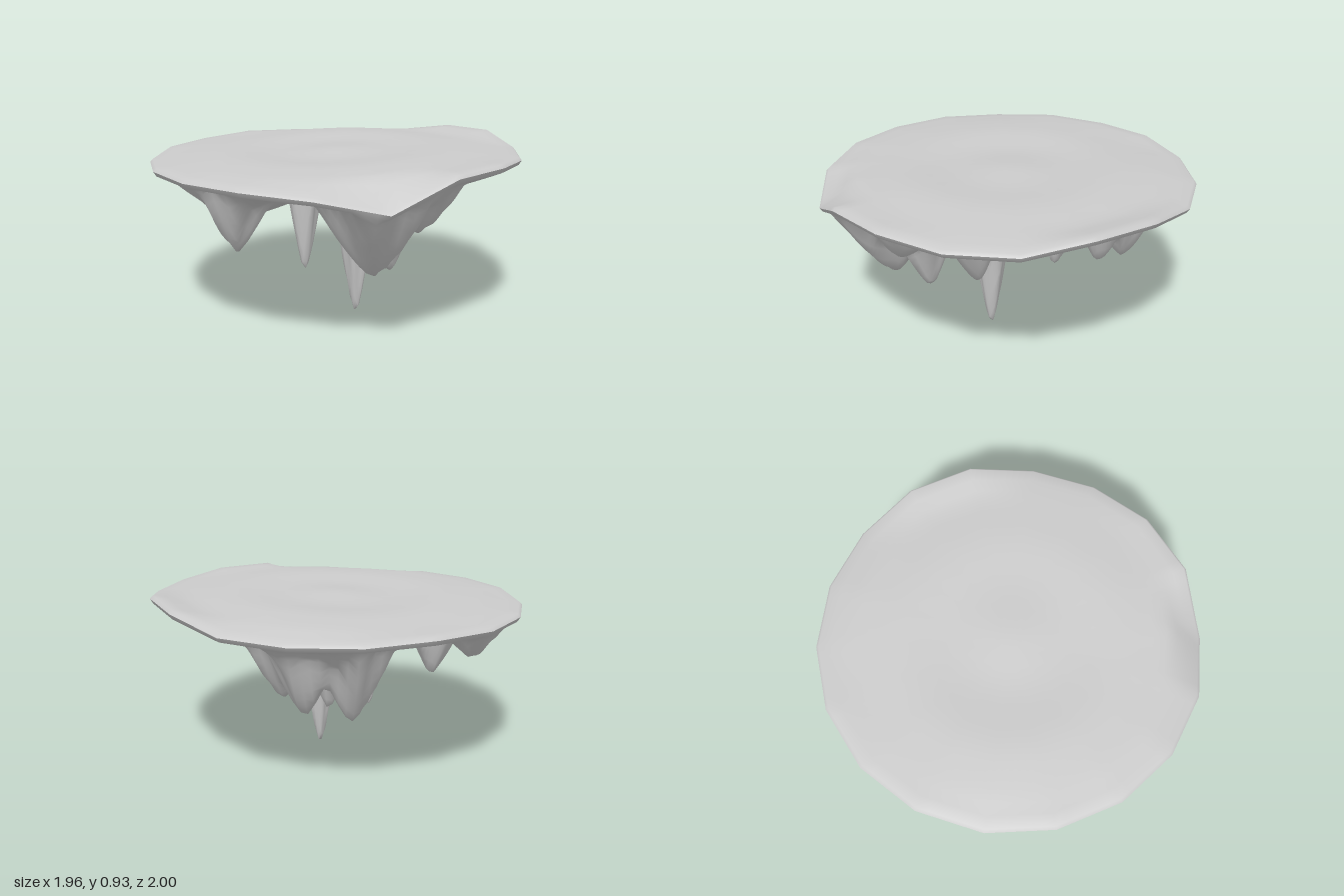
import * as THREE from 'three';

const SIDES = 18, SUB = 6, N = SIDES * SUB;

// Height of the rim at each of its 18 corners, starting at the back
const RIM = [0.87, 0.925, 0.935, 0.89, 0.89, 0.91, 0.905, 0.77, 0.84, 0.86, 0.86, 0.86, 0.85, 0.86, 0.86, 0.87, 0.86, 0.86];

// Hanging rock: x, z, tip height, radius, outward stretch
const SPIKES = [
  // Broad buttresses that the spikes grow from
  [0.42, 0.3, 0.58, 0.36, 1],
  [-0.22, -0.48, 0.57, 0.32, 1],
  [-0.26, 0.52, 0.6, 0.3, 1],
  // Spikes
  [0.14, 0.03, 0.0, 0.115, 1],
  [-0.12, 0.14, 0.24, 0.09, 1],
  [0.42, 0.46, 0.36, 0.25, 1.3],
  [0.42, 0.24, 0.33, 0.13, 1.5],
  [0.29, 0.02, 0.35, 0.14, 2],
  [0.59, 0.3, 0.56, 0.19, 1],
  [-0.24, 0.64, 0.45, 0.16, 1],
  [-0.37, 0.42, 0.39, 0.15, 1.2],
  [-0.02, -0.28, 0.37, 0.12, 1.2],
  [-0.02, -0.53, 0.45, 0.15, 1.2],
  [-0.2, -0.6, 0.41, 0.17, 1],
  [-0.38, -0.46, 0.37, 0.17, 1.2],
  [-0.22, -0.42, 0.4, 0.12, 1],
  [-0.83, -0.07, 0.67, 0.12, 1],
  [-0.6, 0.0, 0.69, 0.14, 1],
];

// Point on the straight-edged rim
function rimPoint(i) {
  const k = Math.floor(i / SUB) % SIDES, f = (i % SUB) / SUB, step = (Math.PI * 2) / SIDES;
  const a = k * step, b = a + step;
  return new THREE.Vector3(
    THREE.MathUtils.lerp(Math.sin(a), Math.sin(b), f) * 0.995,
    THREE.MathUtils.lerp(RIM[k], RIM[(k + 1) % SIDES], f),
    -THREE.MathUtils.lerp(Math.cos(a), Math.cos(b), f)
  );
}

function topHeight(x, z, t, rimY) {
  const mid = 0.894 + 0.022 * x - 0.008 * z + 0.006 * Math.cos(11 * t) + 0.004 * Math.sin(5 * x - 4 * z);
  return THREE.MathUtils.lerp(mid, rimY, THREE.MathUtils.smoothstep(t, 0.8, 1));
}

function undersideHeight(x, z, t, rimY) {
  const inward = Math.min(1, (1 - t) / 0.35);
  const flute = 0.035 * inward * t * Math.abs(Math.sin(Math.atan2(z, x) * 4.5 + 0.8));
  const base = THREE.MathUtils.lerp(rimY - 0.035, 0.76, inward) - flute;
  let y = base;
  SPIKES.forEach(([sx, sz, tip, radius, stretch], i) => {
    const dx = x - sx, dz = z - sz, len = Math.hypot(sx, sz);
    let along = (dx * sx + dz * sz) / len;
    const across = (dz * sx - dx * sz) / len;
    if (along > 0) along /= stretch;
    const ridge = 1 + 0.14 * Math.sin(5 * Math.atan2(across, along) + i * 1.7);
    const d = Math.max(0, Math.hypot(along, across) - 0.012) * ridge / radius;
    if (d < 1) y = Math.min(y, tip + (base - tip) * Math.pow(d, 1.2));
  });
  return y;
}

// Polar sheet from the rim to the centre; rings hold the radius fractions
function sheet(rings, height, facesUp) {
  const pos = [], index = [];
  rings.forEach((t, r) => {
    for (let i = 0; i < N; i++) {
      const p = rimPoint(i), x = p.x * t, z = p.z * t;
      pos.push(x, r === 0 ? p.y - 0.015 : height(x, z, t, p.y), z);
    }
  });
  for (let r = 0; r < rings.length - 1; r++) {
    for (let i = 0; i < N; i++) {
      const a = r * N + i, b = r * N + ((i + 1) % N), c = a + N, d = b + N;
      if (facesUp) index.push(a, c, b, b, c, d);
      else index.push(a, b, c, b, d, c);
    }
  }
  // Centre fan
  const centre = pos.length / 3, last = (rings.length - 1) * N;
  pos.push(0, height(0, 0, 0, 0.88), 0);
  for (let i = 0; i < N; i++) {
    const a = last + i, b = last + ((i + 1) % N);
    if (facesUp) index.push(a, centre, b);
    else index.push(a, b, centre);
  }
  const g = new THREE.BufferGeometry();
  g.setAttribute('position', new THREE.Float32BufferAttribute(pos, 3));
  g.setIndex(index);
  g.computeVertexNormals();
  return g;
}

// Rim ring, lip ring, then evenly spaced rings towards the centre
function makeRings(count) {
  const rings = [1];
  for (let r = count; r > 0; r--) rings.push((r / count) * 0.985);
  return rings;
}

export function createModel() {
  const group = new THREE.Group();
  group.name = 'floatingIsland';
  const material = new THREE.MeshStandardMaterial({ color: 0xcccccc, side: THREE.DoubleSide });
  const add = (name, geometry) => {
    const mesh = new THREE.Mesh(geometry, material);
    mesh.name = name;
    group.add(mesh);
  };

  // Gently rolling ground with a rounded lip
  add('groundTop', sheet(makeRings(16), topHeight, true));

  // Rocky underside with hanging spikes, starting with the thin rim wall
  add('rockyUnderside', sheet(makeRings(48), undersideHeight, false));

  return group;
}
